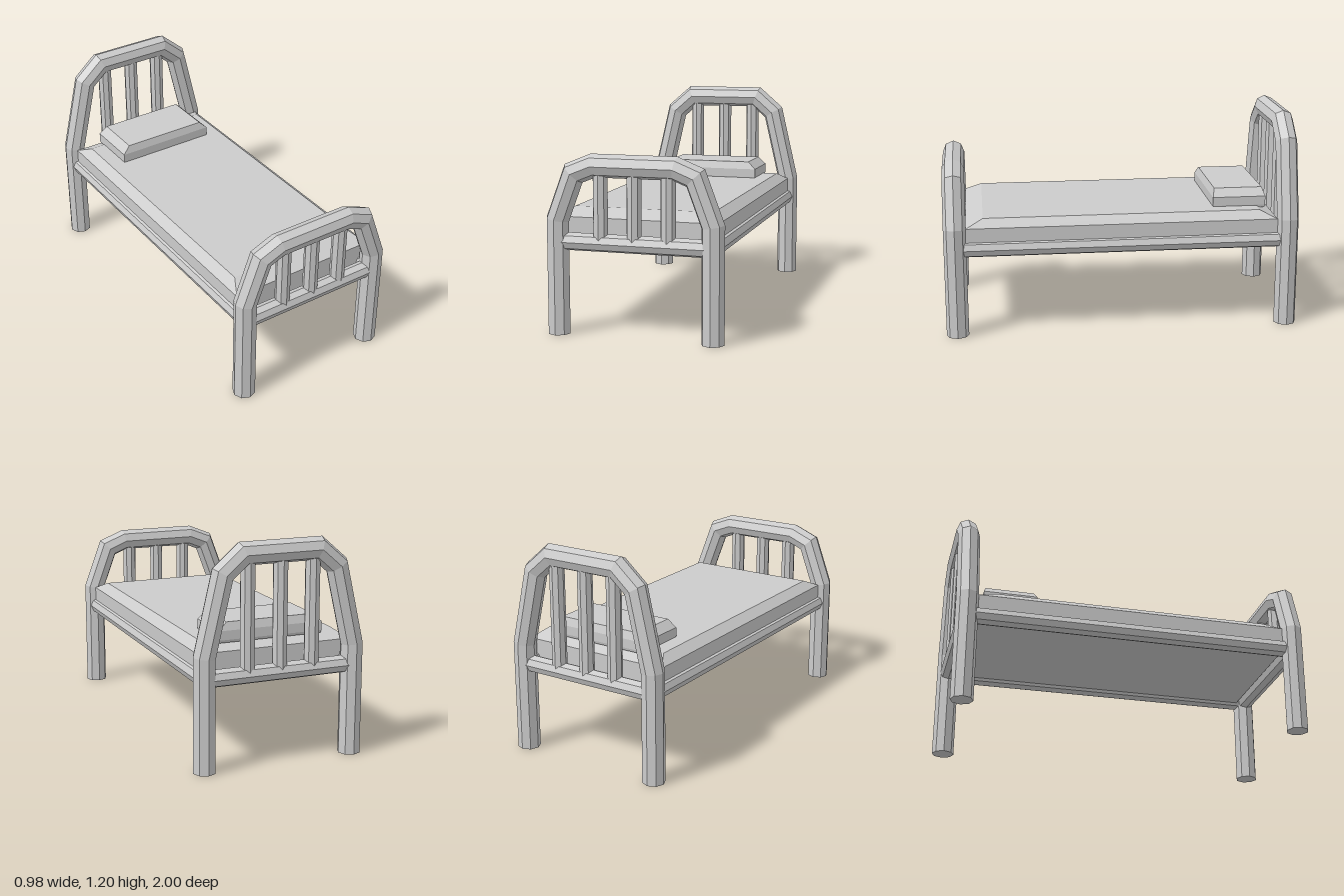
import * as THREE from 'three';

const material = new THREE.MeshStandardMaterial({ color: 0xcccccc, flatShading: true });

function addMesh(parent, name, geometry, x = 0, y = 0, z = 0) {
  const mesh = new THREE.Mesh(geometry, material);
  mesh.name = name;
  mesh.position.set(x, y, z);
  parent.add(mesh);
  return mesh;
}

// Skin a stack of equal-sized rings (counter-clockwise about the travel direction) and cap both ends
function loft(rings) {
  const n = rings[0].length;
  const last = (rings.length - 1) * n;
  const index = [];
  for (let r = 0; r < rings.length - 1; r++) {
    for (let i = 0; i < n; i++) {
      const a = r * n + i;
      const b = r * n + (i + 1) % n;
      index.push(a, b, b + n, a, b + n, a + n);
    }
  }
  for (let i = 1; i < n - 1; i++) {
    index.push(0, i + 1, i, last, last + i, last + i + 1);
  }
  const geometry = new THREE.BufferGeometry();
  geometry.setAttribute('position', new THREE.Float32BufferAttribute(rings.flat(2), 3));
  geometry.setIndex(index);
  geometry.computeVertexNormals();
  return geometry;
}

// Octagonal tube along a path in the xy plane, with mitred corners
function mitredTube(points, radius) {
  const normals = points.slice(1).map((p, i) => {
    const d = p.clone().sub(points[i]).normalize();
    return new THREE.Vector2(-d.y, d.x);
  });
  return loft(points.map((p, i) => {
    const before = normals[Math.max(i - 1, 0)];
    const after = normals[Math.min(i, normals.length - 1)];
    const mitre = before.clone().add(after).divideScalar(1 + before.dot(after));
    return Array.from({ length: 8 }, (_, k) => {
      const c = radius * Math.cos(k * Math.PI / 4);
      const s = radius * Math.sin(k * Math.PI / 4);
      return [p.x + mitre.x * c, p.y + mitre.y * c, s];
    });
  }));
}

// Cushion from stacked rectangles: [half width, half depth, y]
function cushion(levels) {
  return loft(levels.map(([w, d, y]) => [[w, y, d], [w, y, -d], [-w, y, -d], [-w, y, d]]));
}

// One end of the bed: legs and arch in a single tube, cross rail and spindles
function bedEnd(name, z, shoulder, crown) {
  const end = new THREE.Group();
  end.name = name;
  end.position.z = z;
  const half = [[0.425, 0], [0.425, 0.617], shoulder, crown];
  const path = [
    ...half.map(([x, y]) => new THREE.Vector2(-x, y)),
    ...half.slice().reverse().map(([x, y]) => new THREE.Vector2(x, y)),
  ];
  addMesh(end, 'legsAndArch', mitredTube(path, 0.0625));

  const rail = addMesh(end, 'crossRail', new THREE.CylinderGeometry(0.048, 0.048, 0.8, 8), 0, 0.502, 0);
  rail.rotation.z = Math.PI / 2;

  const bottom = 0.5;
  const height = crown[1] - bottom;
  for (const x of [-0.185, 0, 0.185]) {
    addMesh(end, 'spindle', new THREE.CylinderGeometry(0.041, 0.041, height, 8), x, bottom + height / 2, 0);
  }
  return end;
}

export function createModel() {
  const bed = new THREE.Group();
  bed.name = 'bed';

  bed.add(bedEnd('headboard', -0.9375, [0.325, 1.045], [0.213, 1.142]));
  bed.add(bedEnd('footboard', 0.9375, [0.332, 0.865], [0.223, 0.909]));

  // Side rails
  for (const side of [-1, 1]) {
    const name = side > 0 ? 'leftRail' : 'rightRail';
    const rail = addMesh(bed, name, new THREE.CylinderGeometry(0.048, 0.048, 1.79, 8), side * 0.417, 0.502, 0);
    rail.rotation.x = Math.PI / 2;
  }

  // Mattress and pillow with sloped upper edges
  addMesh(bed, 'mattress', cushion([[0.437, 0.877, 0.485], [0.437, 0.877, 0.622], [0.385, 0.78, 0.666]]));
  addMesh(bed, 'pillow', cushion([
    [0.295, 0.148, 0.655], [0.298, 0.152, 0.67], [0.298, 0.152, 0.72], [0.253, 0.138, 0.764],
  ]), 0, 0, -0.682);

  return bed;
}
